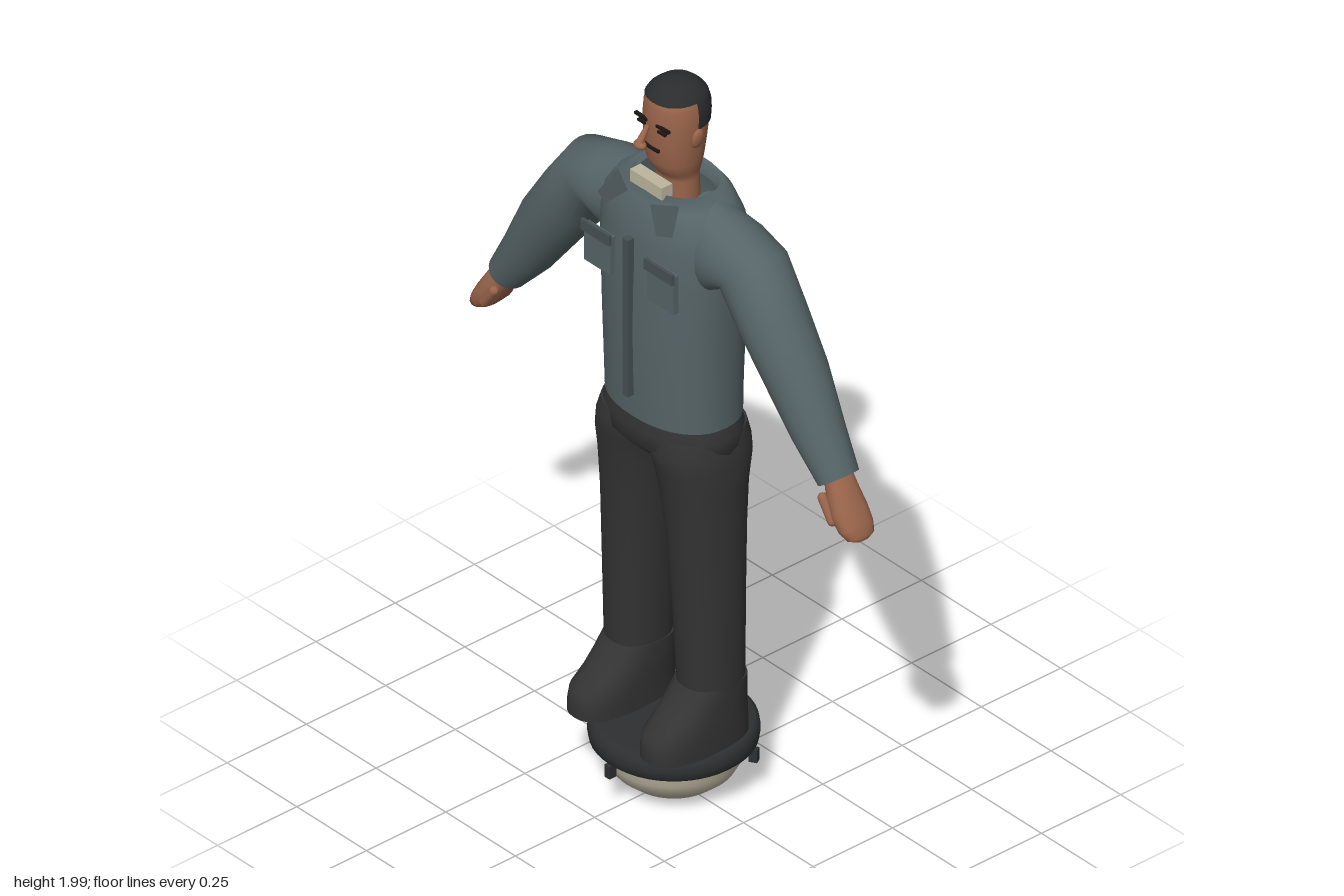
import * as THREE from 'three';

const mat = (name, color, side = THREE.FrontSide) => {
  const m = new THREE.MeshStandardMaterial({ color, side });
  m.name = name;
  return m;
};

// Skin over rings {c: centre, u, v: half axes}; u x v points against the direction of travel
function loft(rings, { seg = 32, power = 1, from = 0, arc = Math.PI * 2, start = true, end = true } = {}) {
  const closed = arc > 6.28, cols = closed ? seg : seg + 1;
  const pos = [], index = [];
  const put = (r, j) => {
    const t = from + (arc * j) / seg;
    const f = (x) => Math.sign(x) * Math.abs(x) ** power;
    const a = f(Math.cos(t)), b = f(Math.sin(t));
    for (let k = 0; k < 3; k++) pos.push(r.c[k] + a * r.u[k] + b * r.v[k]);
  };
  rings.forEach((r) => { for (let j = 0; j < cols; j++) put(r, j); });
  for (let i = 0; i < rings.length - 1; i++) {
    for (let j = 0; j < seg; j++) {
      const k = (j + 1) % cols, a = i * cols + j, b = i * cols + k;
      index.push(a, a + cols, b, b, a + cols, b + cols);
    }
  }
  // Flat end caps with their own vertices
  const cap = (r, flip) => {
    const o = pos.length / 3;
    pos.push(...r.c);
    for (let j = 0; j < cols; j++) put(r, j);
    for (let j = 0; j < seg; j++) {
      const a = o + 1 + j, b = o + 1 + ((j + 1) % cols);
      index.push(o, flip ? b : a, flip ? a : b);
    }
  };
  if (closed && start) cap(rings[0], false);
  if (closed && end) cap(rings[rings.length - 1], true);
  const g = new THREE.BufferGeometry();
  g.setAttribute('position', new THREE.Float32BufferAttribute(pos, 3));
  g.setIndex(index);
  g.computeVertexNormals();
  return g;
}

// Horizontal ring from its extents
const level = ([y, x0, x1, zb, zf]) => ({
  c: [(x0 + x1) / 2, y, (zb + zf) / 2], u: [(x1 - x0) / 2, 0, 0], v: [0, 0, (zf - zb) / 2],
});
const centred = ([y, rx, zb, zf]) => level([y, -rx, rx, zb, zf]);

// Limb ring from its upper and lower edge points, half depth and z centre
const limb = ([x0, y0, x1, y1, d, z = 0]) => ({
  c: [(x0 + x1) / 2, (y0 + y1) / 2, z], u: [(x0 - x1) / 2, (y0 - y1) / 2, 0], v: [0, 0, -d],
});

// Copy mirrored in x with its faces turned back outwards
function mirrored(g) {
  const m = g.clone().scale(-1, 1, 1), ix = m.index.array;
  for (let i = 0; i < ix.length; i += 3) [ix[i], ix[i + 1]] = [ix[i + 1], ix[i]];
  m.computeVertexNormals();
  return m;
}

const box = (w, h, d, x, y, z) => new THREE.BoxGeometry(w, h, d).translate(x, y, z);

export function createModel() {
  const model = new THREE.Group();
  model.name = 'figure';
  const jacket = mat('jacket grey', 0x566467, THREE.DoubleSide);
  const trim = mat('jacket trim', 0x465154, THREE.DoubleSide);
  const dark = mat('trouser black', 0x333333);
  const rubber = mat('board black', 0x2d2f30);
  const hair = mat('hair', 0x2b2c2e, THREE.DoubleSide);
  const skin = mat('skin', 0x99644a);
  const line = mat('face line', 0x1c1614);
  const cream = mat('cream', 0xbdb6a0);

  const add = (name, g, m) => {
    const mesh = new THREE.Mesh(g, m);
    mesh.name = name;
    model.add(mesh);
  };
  const pair = (name, g, m) => {
    add('left' + name, g, m);
    add('right' + name, mirrored(g), m);
  };

  // Round board: cream dome, padded rim, three clips
  add('boardDome', new THREE.LatheGeometry([[0, 0.008], [0.06, 0.012], [0.115, 0.028], [0.15, 0.058],
    [0.17, 0.095], [0.175, 0.14]].map((p) => new THREE.Vector2(...p)), 48), cream);
  add('boardRim', new THREE.LatheGeometry([[0.165, 0.128], [0.192, 0.128], [0.203, 0.138], [0.206, 0.158],
    [0.203, 0.178], [0.192, 0.188], [0.165, 0.19], [0, 0.19]].map((p) => new THREE.Vector2(...p)), 48), rubber);
  for (let i = 0; i < 3; i++) {
    const clip = box(0.018, 0.035, 0.022, 0, 0.12, 0.2).rotateX(0).rotateY((i * Math.PI * 2) / 3);
    add('boardClip' + (i + 1), clip, rubber);
  }

  // Boots
  pair('Boot', loft([
    [0.205, 0.055, 0.207, -0.098, 0.2], [0.235, 0.055, 0.207, -0.098, 0.2], [0.267, 0.055, 0.206, -0.097, 0.193],
    [0.3, 0.055, 0.204, -0.094, 0.15], [0.335, 0.055, 0.203, -0.092, 0.115], [0.372, 0.056, 0.202, -0.09, 0.083],
  ].map(level), { power: 0.8 }), dark);

  // Trousers
  pair('TrouserLeg', loft([
    [0.36, 0.058, 0.203, -0.086, 0.082], [0.6, 0.045, 0.205, -0.09, 0.09], [0.8, 0.028, 0.205, -0.098, 0.1],
    [0.92, 0.012, 0.206, -0.108, 0.112], [0.99, 0.0, 0.206, -0.124, 0.125], [1.03, -0.02, 0.2, -0.128, 0.13],
    [1.07, -0.02, 0.19, -0.12, 0.12],
  ].map(level), { power: 0.9 }), dark);
  add('trouserHips', loft([
    [0.985, 0.13, -0.08, 0.08], [1.0, 0.17, -0.11, 0.11], [1.03, 0.2, -0.134, 0.136],
    [1.07, 0.195, -0.133, 0.134], [1.11, 0.183, -0.125, 0.125],
  ].map(centred), { power: 0.9 }), dark);

  // Jacket body, open at the neck
  add('jacketBody', loft([
    [1.1, 0.188, -0.132, 0.132], [1.2, 0.188, -0.136, 0.137], [1.35, 0.194, -0.14, 0.14], [1.5, 0.204, -0.141, 0.137],
    [1.6, 0.212, -0.138, 0.13], [1.66, 0.2, -0.13, 0.12], [1.705, 0.16, -0.118, 0.102], [1.73, 0.118, -0.1, 0.083],
    [1.69, 0.105, -0.09, 0.075],
  ].map(centred), { seg: 40, power: 0.9, end: false }), jacket);

  // Sleeves
  pair('Sleeve', loft([
    [0.1, 1.725, 0.13, 1.45, 0.085, -0.008], [0.23, 1.697, 0.18, 1.49, 0.097, -0.008],
    [0.345, 1.662, 0.215, 1.53, 0.091, -0.004], [0.43, 1.545, 0.28, 1.45, 0.088], [0.51, 1.425, 0.36, 1.35, 0.08],
    [0.58, 1.285, 0.46, 1.225, 0.066], [0.632, 1.19, 0.55, 1.133, 0.054],
  ].map(limb), { seg: 28 }), jacket);

  // Hands
  pair('Hand', loft([
    [0.61, 1.19, 0.565, 1.15, 0.036], [0.64, 1.15, 0.583, 1.115, 0.043, 0.005], [0.665, 1.11, 0.605, 1.075, 0.05, 0.006],
    [0.685, 1.075, 0.635, 1.045, 0.048, 0.006], [0.696, 1.05, 0.66, 1.031, 0.038, 0.006],
    [0.692, 1.036, 0.675, 1.029, 0.018, 0.006],
  ].map(limb), { seg: 20, power: 0.85 }), skin);
  pair('Thumb', new THREE.CapsuleGeometry(0.013, 0.06, 4, 10).rotateZ(0.6).translate(0.607, 1.1, 0.049), skin);

  // Zip, pockets with flaps, collar points
  add('zip', box(0.02, 0.445, 0.02, 0, 1.388, 0.144), trim);
  pair('Pocket', box(0.095, 0.105, 0.016, 0.113, 1.523, 0.135), jacket);
  pair('PocketFlap', box(0.101, 0.03, 0.009, 0.113, 1.572, 0.146), trim);
  const lapel = new THREE.BufferGeometry();
  lapel.setAttribute('position', new THREE.Float32BufferAttribute([
    0.11, 1.727, 0.08, 0.04, 1.712, 0.11, 0.092, 1.66, 0.138, 0.134, 1.668, 0.122], 3));
  lapel.setIndex([0, 1, 2, 0, 2, 3]);
  lapel.computeVertexNormals();
  pair('CollarPoint', lapel, trim);
  add('collarInsert', box(0.114, 0.034, 0.034, 0, 1.738, 0.072), cream);

  // Head and neck
  add('head', loft([
    [1.66, 0.06, -0.06, 0.035], [1.735, 0.056, -0.058, 0.032], [1.752, 0.058, -0.06, 0.04], [1.765, 0.064, -0.063, 0.052],
    [1.79, 0.07, -0.068, 0.062], [1.84, 0.075, -0.076, 0.069], [1.9, 0.078, -0.084, 0.071], [1.945, 0.075, -0.084, 0.068],
    [1.97, 0.064, -0.072, 0.058], [1.99, 0.035, -0.045, 0.03],
  ].map(centred), { power: 0.92 }), skin);

  // Hair: cap on top and a lower band round the back
  add('hairTop', loft([
    [1.962, 0.073, -0.085, 0.067], [1.975, 0.065, -0.077, 0.059], [1.988, 0.05, -0.062, 0.045],
    [1.996, 0.033, -0.045, 0.03], [2.0, 0.012, -0.02, 0.008],
  ].map(centred), { power: 0.92 }), hair);
  add('hairBack', loft([
    [1.892, 0.08, -0.088, 0.074], [1.92, 0.081, -0.09, 0.074], [1.945, 0.079, -0.089, 0.072], [1.966, 0.071, -0.083, 0.065],
  ].map(centred), { power: 0.92, from: Math.PI, arc: Math.PI }), hair);

  // Ears, brows, eyes, mouth and nose
  pair('Ear', new THREE.SphereGeometry(1, 14, 10).scale(0.011, 0.029, 0.018).rotateZ(-0.2).translate(0.085, 1.873, 0), skin);
  pair('Brow', box(0.045, 0.007, 0.008, 0.037, 1.906, 0.069).rotateY(0.02), line);
  pair('Eye', box(0.026, 0.006, 0.008, 0.036, 1.893, 0.069), line);
  add('mouth', box(0.052, 0.007, 0.008, 0, 1.836, 0.07), line);
  add('noseBridge', new THREE.CylinderGeometry(0.006, 0.011, 0.055, 10).rotateX(-0.6).translate(0, 1.883, 0.097), skin);
  add('noseTip', new THREE.SphereGeometry(1, 14, 10).scale(0.019, 0.011, 0.014).translate(0, 1.86, 0.107), skin);

  return model;
}
